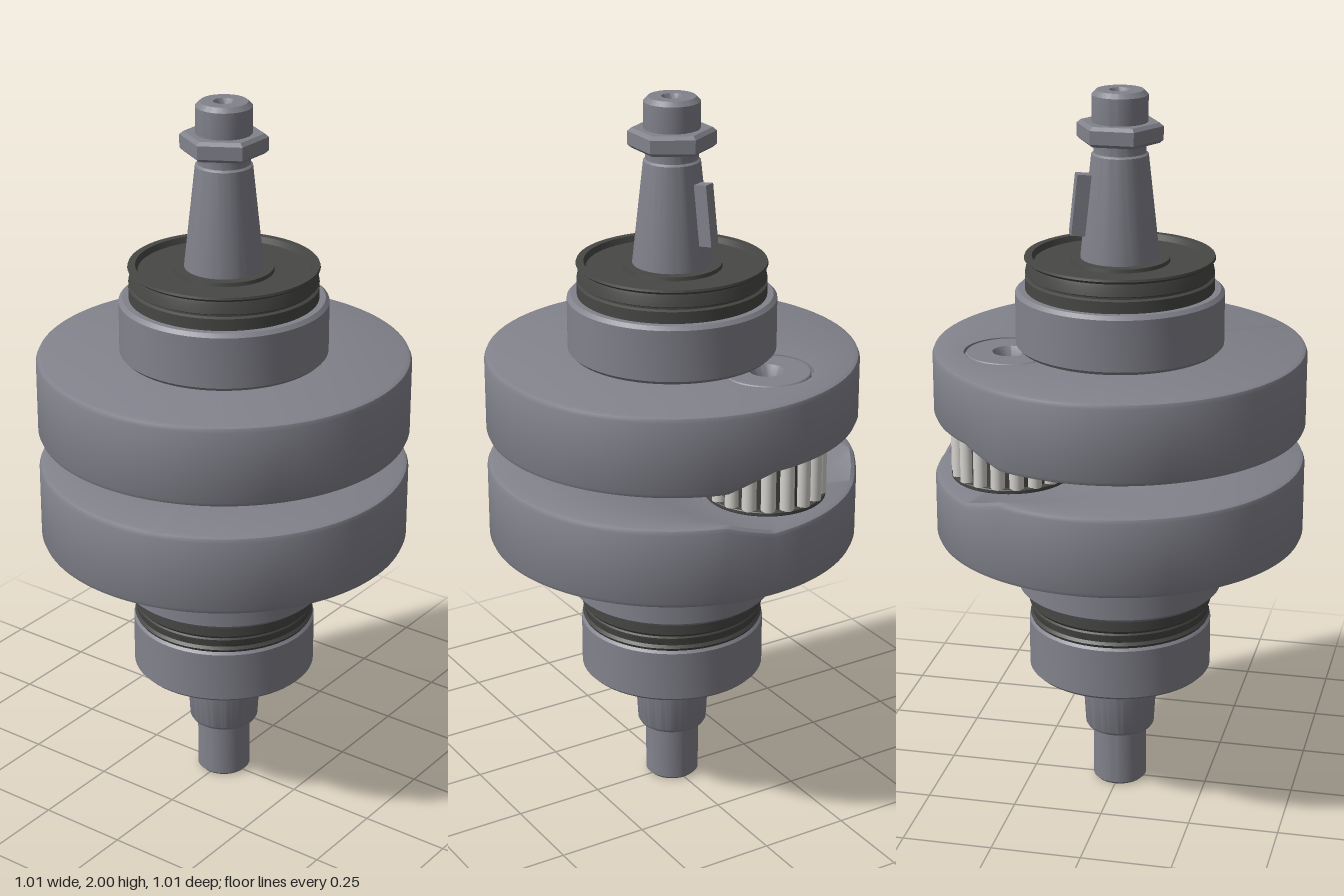
import * as THREE from 'three';
import { toCreasedNormals } from 'three/addons/utils/BufferGeometryUtils.js';

const steel = new THREE.MeshStandardMaterial({ color: 0x82828c });
const rubber = new THREE.MeshStandardMaterial({ color: 0x474745 });
const bright = new THREE.MeshStandardMaterial({ color: 0xd6d3ce });

const PIN = new THREE.Vector2(-0.125, -0.275); // crank pin position in x, z
const MID = 1.0375;                            // height of the gap between the webs
const IN = 0.0425, OUT = 0.2675;               // web faces measured from MID
const PIN_R = 0.124, WEB_R = 0.507, EDGE = 0.015;

export function createModel() {
  const model = new THREE.Group();

  const add = (name, geometry, material = steel, parent = model) => {
    const mesh = new THREE.Mesh(geometry, material);
    mesh.name = name;
    parent.add(mesh);
    return mesh;
  };
  // Turned part; profile is [radius, height] pairs with the material on the left
  const turned = (name, profile, material = steel, parent = model, segments = 64) => {
    const points = profile.map(([r, y]) => new THREE.Vector2(r, y));
    return add(name, toCreasedNormals(new THREE.LatheGeometry(points, segments), 0.5), material, parent);
  };
  // Ring with small chamfers
  const ring = (name, inner, outer, y0, y1, material = steel, parent = model, c = 0.008) =>
    turned(name, [[inner, y0], [outer - c, y0], [outer, y0 + c], [outer, y1 - c],
      [outer - c, y1], [inner, y1], [inner, y0]], material, parent);

  // Crank webs: same half twice, turned over about the pin direction
  const flip = new THREE.Vector3(PIN.x, 0, PIN.y).normalize();
  const webShape = webGeometry();
  for (const side of ['upper', 'lower']) {
    const half = new THREE.Group();
    half.name = side + 'CrankHalf';
    half.position.y = MID;
    if (side === 'lower') half.quaternion.setFromAxisAngle(flip, Math.PI);
    model.add(half);
    add(side + 'Web', webShape, steel, half);
    // pin end with a groove around it and a drilled centre
    const pin = turned(side + 'CrankPin', [[PIN_R, 0], [PIN_R, OUT - 0.012], [0.118, OUT - 0.012],
      [0.118, OUT - 0.003], [0.115, OUT], [0.047, OUT], [0.04, OUT - 0.012],
      [0.026, OUT - 0.045], [0.026, OUT - 0.08], [0, OUT - 0.09]], steel, half, 48);
    pin.position.set(PIN.x, 0, PIN.y);
  }

  // Needle bearing on the crank pin
  const needles = new THREE.Group();
  needles.name = 'needleBearing';
  needles.position.set(PIN.x, MID, PIN.y);
  model.add(needles);
  ring('needleCage', 0.12, 0.145, -0.08, 0.08, rubber, needles, 0.004);
  for (const y of [-0.0825, 0.0705]) ring('cageRim', 0.12, 0.163, y, y + 0.012, rubber, needles, 0.002);
  const needle = new THREE.CylinderGeometry(0.02, 0.02, 0.145, 14);
  const count = 18;
  for (let i = 0; i < count; i++) {
    const a = (i / count) * Math.PI * 2;
    add('needle', needle, bright, needles).position.set(Math.cos(a) * 0.145, 0, Math.sin(a) * 0.145);
  }

  // Upper side: main bearing, seal, tapered shaft
  ring('upperMainBearing', 0.09, 0.282, 1.305, 1.465, steel, model, 0.01);
  turned('upperSeal', [[0.1, 1.465], [0.255, 1.465], [0.255, 1.497], [0.247, 1.501], [0.247, 1.506],
    [0.255, 1.51], [0.25, 1.533], [0.247, 1.542], [0.257, 1.55], [0.255, 1.556], [0.236, 1.556],
    [0.23, 1.54], [0.135, 1.54], [0.133, 1.55], [0.1, 1.55]], rubber);
  turned('upperShaft', [[0.106, 1.46], [0.106, 1.555], [0.076, 1.83], [0.07, 1.835], [0.07, 1.87],
    [0.075, 1.91], [0.075, 1.988], [0.063, 2], [0.028, 2], [0.02, 1.985], [0.02, 1.965], [0, 1.955]]);
  const nut = new THREE.LatheGeometry([[0.06, 1.863], [0.106, 1.863], [0.117, 1.872], [0.117, 1.908],
    [0.106, 1.917], [0.06, 1.917]].map(p => new THREE.Vector2(...p)), 6);
  add('nut', toCreasedNormals(nut, 0.3));

  // Key lying along the taper, in line with the crank pin
  const keyMount = new THREE.Group();
  keyMount.name = 'keyMount';
  keyMount.rotation.y = Math.atan2(PIN.x, PIN.y);
  model.add(keyMount);
  const key = add('key', new THREE.BoxGeometry(0.034, 0.165, 0.06), steel, keyMount);
  key.position.set(0, 1.697, 0.097);
  key.rotation.x = -0.109;

  // Lower side: main bearing, seal, ball bearing, stepped shaft
  ring('lowerMainBearing', 0.09, 0.282, 0.602, 0.762, steel, model, 0.01);
  turned('lowerSeal', [[0.1, 0.5], [0.247, 0.512], [0.252, 0.522], [0.246, 0.53], [0.25, 0.552],
    [0.247, 0.557], [0.255, 0.566], [0.255, 0.603], [0.1, 0.603]], rubber);
  turned('lowerShaft', [[0, 0.03], [0.018, 0.025], [0.018, 0.015], [0.024, 0.004], [0.067, 0.004],
    [0.075, 0.012], [0.075, 0.17], [0.092, 0.17], [0.097, 0.178], [0.108, 0.36], [0.108, 0.6],
    [0.122, 0.6], [0.122, 0.772]]);
  const ballBearing = new THREE.Group();
  ballBearing.name = 'ballBearing';
  model.add(ballBearing);
  ring('outerRace', 0.21, 0.255, 0.36, 0.515, steel, ballBearing);
  ring('innerRace', 0.1, 0.148, 0.365, 0.515, steel, ballBearing);
  ring('ballCage', 0.168, 0.19, 0.415, 0.46, steel, ballBearing, 0.003);
  const ball = new THREE.SphereGeometry(0.04, 20, 14);
  for (let i = 0; i < 9; i++) {
    const a = (i / 9) * Math.PI * 2;
    add('ball', ball, steel, ballBearing).position.set(Math.sin(a) * 0.179, 0.43, Math.cos(a) * 0.179);
  }
  return model;
}

// Disc with a sloped pocket around the pin, swept in rays from the pin centre
function webGeometry() {
  const N = 192, FLOOR_R = 0.246, POCKET_R = 0.32, DEPTH = 0.04;
  const height = r => IN + DEPTH * THREE.MathUtils.clamp((POCKET_R - r) / (POCKET_R - FLOOR_R), 0, 1);
  const columns = [];
  for (let j = 0; j <= N; j++) {
    const a = (j / N) * Math.PI * 2;
    const d = new THREE.Vector2(Math.cos(a), Math.sin(a));
    const b = PIN.dot(d);
    const reach = radius => -b + Math.sqrt(b * b - PIN.lengthSq() + radius * radius);
    const face = reach(WEB_R - EDGE), rim = reach(WEB_R);
    const bend = reach(WEB_R - EDGE * 0.3), inner = height(face);
    const floor = Math.min(FLOOR_R, face), slope = Math.min(POCKET_R, face);
    columns.push([
      [PIN_R - 0.02, height(0)], [floor, height(floor)], [slope, height(slope)], [face, inner],
      [bend, inner + EDGE * 0.3], [rim, inner + EDGE],
      [rim, OUT - EDGE], [bend, OUT - EDGE * 0.3], [face, OUT],
      [PIN_R, OUT], [PIN_R, OUT - 0.02],
    ].map(([r, y]) => [PIN.x + d.x * r, y, PIN.y + d.y * r]));
  }
  const rows = columns[0].length, index = [];
  for (let j = 0; j < N; j++) {
    for (let i = 0; i < rows - 1; i++) {
      const p = j * rows + i, q = p + rows;
      index.push(p, p + 1, q, q, p + 1, q + 1);
    }
  }
  const geometry = new THREE.BufferGeometry();
  geometry.setAttribute('position', new THREE.Float32BufferAttribute(columns.flat(2), 3));
  geometry.setIndex(index);
  return toCreasedNormals(geometry, 0.6);
}
